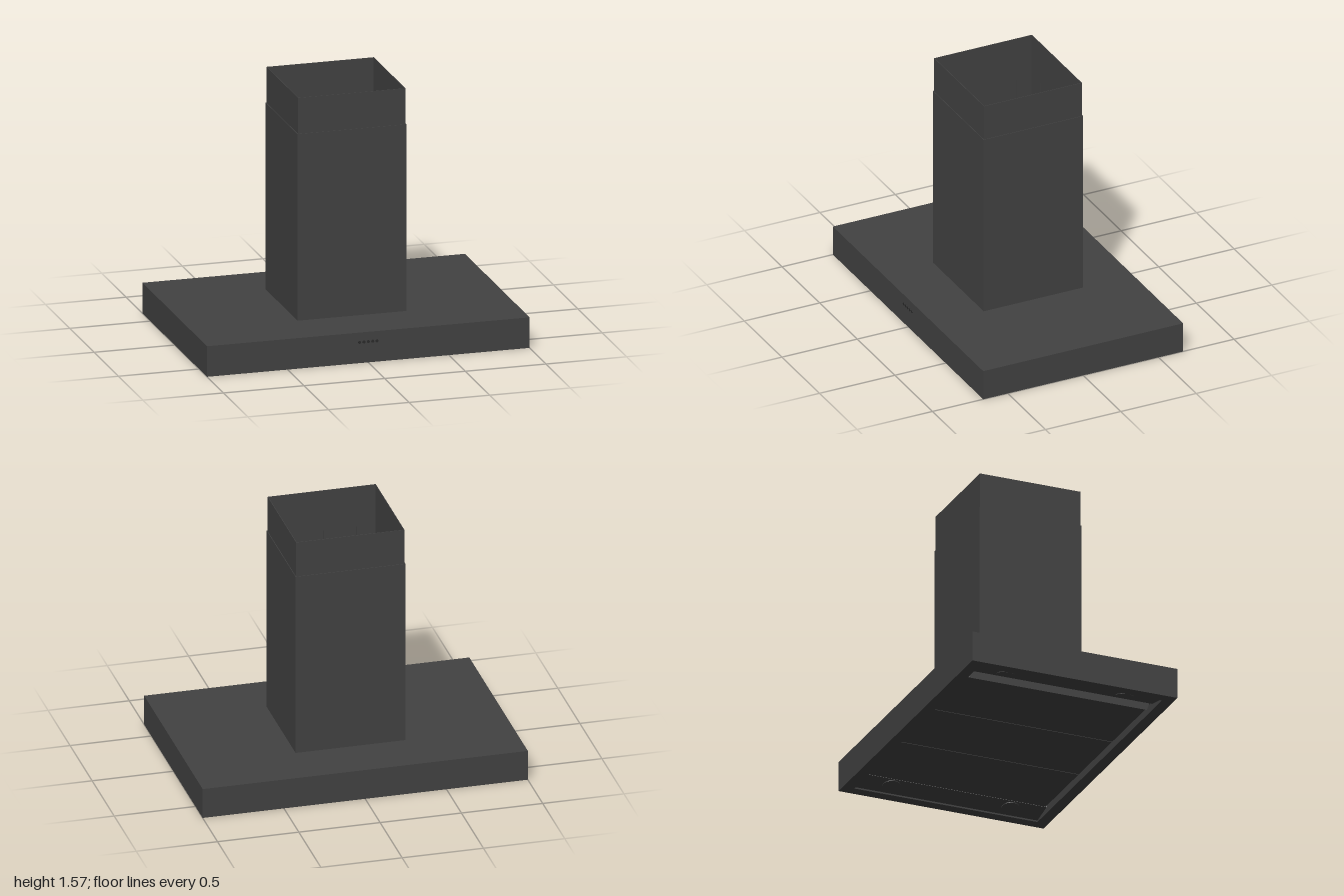
import * as THREE from 'three';

const steel = new THREE.MeshStandardMaterial({ color: 0x424242 });
const dark = new THREE.MeshStandardMaterial({ color: 0x2a2a2a });
const bright = new THREE.MeshStandardMaterial({ color: 0x858585 });

function add(parent, name, geometry, material = steel, x = 0, y = 0, z = 0) {
  const mesh = new THREE.Mesh(geometry, material);
  mesh.name = name;
  mesh.position.set(x, y, z);
  parent.add(mesh);
  return mesh;
}

function rect(path, x0, y0, x1, y1) {
  path.moveTo(x0, y0);
  path.lineTo(x1, y0);
  path.lineTo(x1, y1);
  path.lineTo(x0, y1);
  path.closePath();
  return path;
}

// Upright rectangular tube, open at both ends
function sleeve(halfX, halfZ, wall, height) {
  const shape = rect(new THREE.Shape(), -halfX, -halfZ, halfX, halfZ);
  shape.holes.push(rect(new THREE.Path(), -halfX + wall, -halfZ + wall, halfX - wall, halfZ - wall));
  const g = new THREE.ExtrudeGeometry(shape, { depth: height, bevelEnabled: false });
  return g.rotateX(-Math.PI / 2);
}

// Flat upright panel with rectangular openings [x0, y0, x1, y1]
function slottedPanel(half, y0, y1, wall, openings) {
  const shape = rect(new THREE.Shape(), -half, y0, half, y1);
  for (const o of openings) shape.holes.push(rect(new THREE.Path(), ...o));
  return new THREE.ExtrudeGeometry(shape, { depth: wall, bevelEnabled: false });
}

export function createModel() {
  const hood = new THREE.Group();
  hood.name = 'rangeHood';

  // Canopy: rim frame and top plate
  const canopy = new THREE.Group();
  canopy.name = 'canopy';
  hood.add(canopy);
  add(canopy, 'canopyRim', sleeve(1, 0.663, 0.07, 0.18));
  add(canopy, 'canopyTop', new THREE.BoxGeometry(2, 0.01, 1.326), steel, 0, 0.185, 0);

  // Front control buttons
  for (let i = -2; i <= 2; i++) {
    const button = new THREE.CylinderGeometry(0.009, 0.009, 0.006, 20).rotateX(Math.PI / 2);
    add(canopy, 'controlButton', button, dark, i * 0.027, 0.13, 0.664);
  }

  // Underside: backing plate and three grease filters
  const underside = new THREE.Group();
  underside.name = 'underside';
  hood.add(underside);
  add(underside, 'filterBacking', new THREE.BoxGeometry(1.86, 0.01, 1.19), dark, 0, 0.06, 0);
  for (let i = -1; i <= 1; i++) {
    add(underside, 'greaseFilter', new THREE.BoxGeometry(0.492, 0.04, 1.15), steel, i * 0.498, 0.035, -0.01);
  }

  // Sloping lamp panels with a bright strip toward the filters, one at each end
  for (const side of [1, -1]) {
    const end = new THREE.Group();
    end.name = side > 0 ? 'leftLampPanel' : 'rightLampPanel';
    end.rotation.y = side > 0 ? 0 : Math.PI;
    underside.add(end);

    const profile = new THREE.Shape();
    profile.moveTo(0.93, 0.01);
    profile.lineTo(0.93, 0.055);
    profile.lineTo(0.785, 0.055);
    profile.lineTo(0.785, 0.04);
    profile.closePath();
    const panel = new THREE.ExtrudeGeometry(profile, { depth: 1.186, bevelEnabled: false });
    add(end, 'lampPanel', panel.translate(0, 0, -0.593));

    const strip = new THREE.Shape();
    strip.moveTo(0.745, 0.014);
    strip.lineTo(0.785, 0.04);
    strip.lineTo(0.785, 0.055);
    strip.lineTo(0.745, 0.055);
    strip.closePath();
    const stripGeometry = new THREE.ExtrudeGeometry(strip, { depth: 1.15, bevelEnabled: false });
    add(end, 'lightStrip', stripGeometry.translate(0, 0, -0.575), bright);

    // Round lamps set flush in the slope
    for (const z of [-0.385, 0.385]) {
      const lamp = add(end, 'lamp', new THREE.CylinderGeometry(0.055, 0.055, 0.008, 40), steel, 0.857, 0.025, z);
      lamp.rotation.z = -Math.atan2(0.03, 0.145);
    }
  }

  // Lower chimney cover
  const chimney = new THREE.Group();
  chimney.name = 'chimney';
  hood.add(chimney);
  add(chimney, 'lowerChimney', sleeve(0.338, 0.33, 0.004, 1.16), steel, 0, 0.19, 0);

  // Telescoping upper chimney with vent openings hidden behind the lower cover
  const slots = [-0.2, -0.1, 0, 0.1, 0.2].map((x) => [x - 0.012, 1.08, x + 0.012, 1.31]);
  const windows = [-0.18, 0.18].map((z) => [z - 0.04, 1.1, z + 0.04, 1.29]);
  const wall = 0.004;
  for (const s of [1, -1]) {
    const face = add(chimney, 'upperChimneySlottedWall', slottedPanel(0.333, 0.65, 1.573, wall, slots));
    face.position.z = s > 0 ? 0.325 - wall : -0.325;
    const flank = add(chimney, 'upperChimneySideWall', slottedPanel(0.325 - wall, 0.65, 1.573, wall, windows));
    flank.rotation.y = Math.PI / 2;
    flank.position.x = s > 0 ? 0.333 - wall : -0.333;
  }

  // Duct outlet and electrical boxes inside the chimney
  const interior = new THREE.Group();
  interior.name = 'interior';
  hood.add(interior);
  add(interior, 'ductOutlet', new THREE.CylinderGeometry(0.165, 0.165, 0.1, 48), steel, 0, 0.24, -0.085);
  add(interior, 'controlBox', new THREE.BoxGeometry(0.56, 0.1, 0.09), steel, 0, 0.24, 0.215);
  add(interior, 'terminalBox', new THREE.BoxGeometry(0.24, 0.06, 0.06), steel, 0.125, 0.22, 0.14);
  add(interior, 'cableGland', new THREE.CylinderGeometry(0.015, 0.015, 0.02, 20), dark, 0.24, 0.3, 0.235);

  return hood;
}
